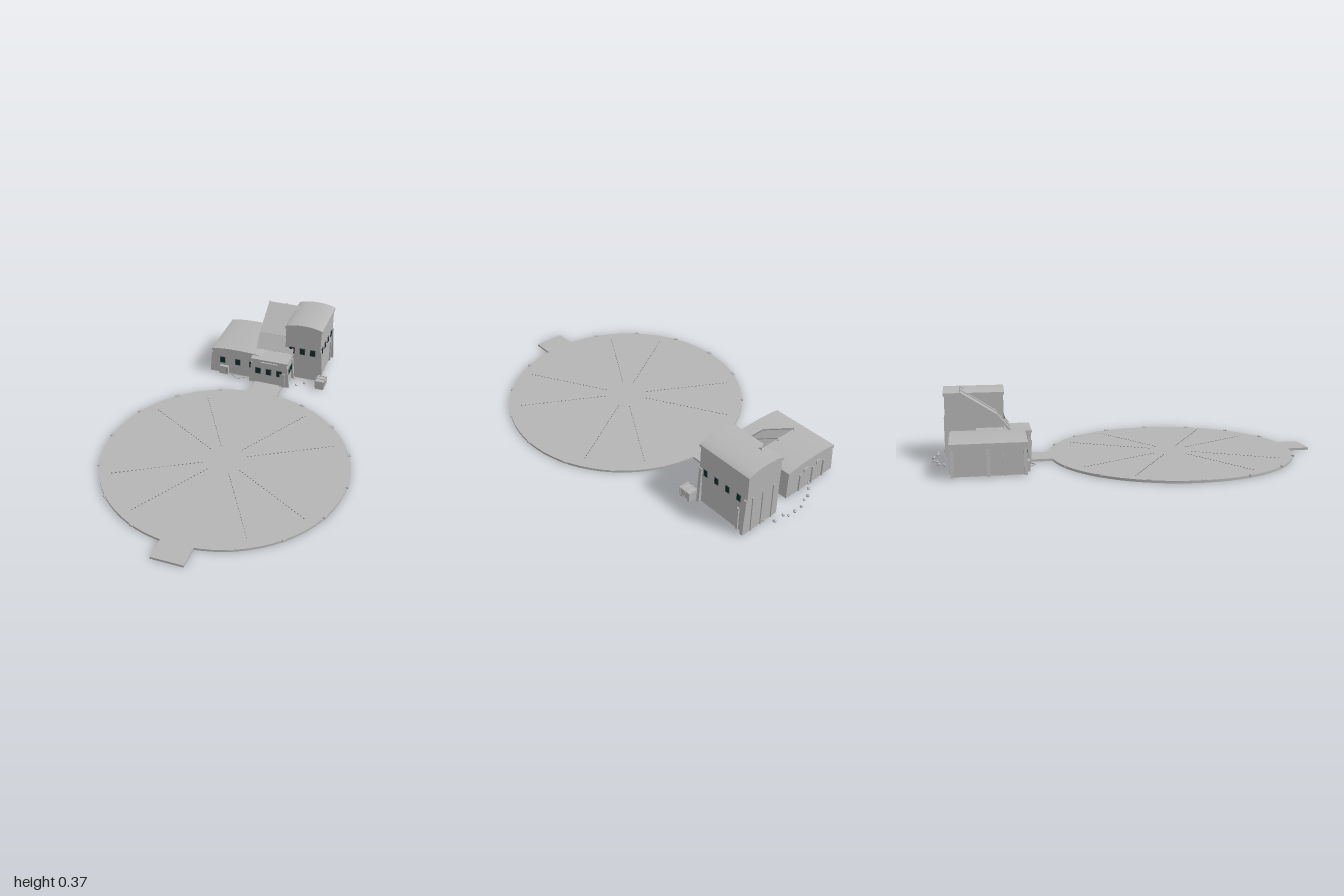
import * as THREE from 'three';

export function createModel() {
  const root = new THREE.Group();
  const mat = (name, color, side = THREE.FrontSide) => {
    const m = new THREE.MeshStandardMaterial({ color, side });
    m.name = name;
    return m;
  };
  const concrete = mat('concrete grey', 0xb4b4b4);
  const sheet = mat('sheet grey', 0xb2b2b2, THREE.DoubleSide);
  const glass = mat('dark teal glass', 0x0c2c2a);
  const trim = mat('dark trim', 0x707070);

  const add = (name, geo, m, x = 0, y = 0, z = 0, parent = root) => {
    const mesh = new THREE.Mesh(geo, m);
    mesh.name = name;
    mesh.position.set(x, y, z);
    parent.add(mesh);
    return mesh;
  };
  const box = (name, w, h, d, x, y, z, m = concrete) =>
    add(name, new THREE.BoxGeometry(w, h, d), m, x, y, z);

  // Landing pad with a walkway at each end
  const padZ = 0.245, padR = 0.645, top = 0.012;
  add('landingPad', new THREE.CylinderGeometry(padR, padR, top, 72), concrete, 0, top / 2, padZ);
  box('frontRamp', 0.165, top, 0.14, 0, top / 2, 0.93);
  box('rearWalkway', 0.165, top, 0.15, 0, top / 2, -0.445);

  // Edge lamps
  for (let i = 0; i < 16; i++) {
    if (i % 8 === 4) continue;
    const a = (i * Math.PI) / 8;
    const lamp = box('edgeLamp', 0.014, 0.009, 0.022,
      Math.cos(a) * padR, 0.0115, padZ + Math.sin(a) * padR);
    lamp.rotation.y = -a;
  }
  // Radial rows of guide lights
  const dot = new THREE.BoxGeometry(0.007, 0.002, 0.003);
  for (const deg of [30, 60, 120, 150, 210, 240, 300, 330]) {
    const a = THREE.MathUtils.degToRad(deg);
    for (let k = 0; k < 24; k++) {
      const r = 0.12 + k * 0.02;
      add('guideLight', dot, trim, Math.cos(a) * r, top + 0.001, padZ + Math.sin(a) * r).rotation.y = -a;
    }
  }

  // Hall with a shallow vaulted roof running front to back
  function vault(x0, x1, y0, eave, crown) {
    const s = new THREE.Shape();
    s.moveTo(x0, y0);
    s.lineTo(x1, y0);
    s.lineTo(x1, eave);
    s.bezierCurveTo(x1 - (x1 - x0) * 0.2, crown + (crown - eave) / 3,
      x0 + (x1 - x0) * 0.2, crown + (crown - eave) / 3, x0, eave);
    s.closePath();
    return s;
  }
  function hall(name, x0, x1, zBack, zFront, eave, crown) {
    const ext = (s, d) => new THREE.ExtrudeGeometry(s, { depth: d, bevelEnabled: false, curveSegments: 14 });
    add(name + 'Walls', ext(vault(x0, x1, 0.008, eave, crown - 0.004), zFront - zBack), concrete, 0, 0, zBack);
    add(name + 'Roof', ext(vault(x0 - 0.005, x1 + 0.005, eave - 0.012, eave + 0.002, crown),
      zFront - zBack + 0.01), concrete, 0, 0, zBack - 0.005);
  }
  hall('lowHall', -0.362, -0.045, -0.9, -0.542, 0.163, 0.179);
  hall('tower', 0.06, 0.27, -0.932, -0.632, 0.342, 0.363);

  // Entrance block
  box('entranceWalls', 0.21, 0.152, 0.125, 0, 0.084, -0.5675);
  box('entranceRoof', 0.222, 0.01, 0.135, 0, 0.164, -0.5675);
  box('entranceCanopy', 0.1, 0.007, 0.012, 0, 0.15, -0.502);
  box('linkRoom', 0.12, 0.15, 0.15, 0.005, 0.083, -0.7);

  // Sloping buttresses, tapering upward; side is -1 or +1 along x
  function buttress(x, z, side, h) {
    const s = new THREE.Shape([[0, 0], [0.017, 0], [0.006, h], [0, h]].map(p => new THREE.Vector2(...p)));
    const g = new THREE.ExtrudeGeometry(s, { depth: 0.016, bevelEnabled: false });
    const m = add('buttress', g, concrete, x, 0.008, side > 0 ? z - 0.008 : z + 0.008);
    if (side < 0) m.rotation.y = Math.PI;
  }
  for (const z of [-0.55, -0.725, -0.892]) buttress(-0.362, z, -1, 0.13);
  for (const z of [-0.64, -0.924]) buttress(0.27, z, 1, 0.2);
  for (const z of [-0.513, -0.62]) {
    buttress(-0.105, z, -1, 0.13);
    buttress(0.105, z, 1, 0.13);
  }

  // Framed windows; axis tells which way the window faces
  function opening(x, y, z, w, h, axis) {
    const size = (a, b, t) => axis === 'x' ? [t, b, a] : [a, b, t];
    box('windowFrame', ...size(w + 0.007, h + 0.007, 0.006), x, y, z, trim);
    box('windowPane', ...size(w, h, 0.009), x, y, z, glass);
  }
  for (const x of [-0.3, -0.205, -0.118]) opening(x, 0.097, -0.542, 0.028, 0.035, 'z');
  for (const x of [-0.066, -0.002, 0.062]) opening(x, 0.092, -0.505, 0.028, 0.035, 'z');
  for (const x of [0.1, 0.163, 0.225]) opening(x, 0.192, -0.632, 0.028, 0.036, 'z');
  for (const z of [-0.672, -0.742, -0.812, -0.882]) opening(0.27, 0.197, z, 0.02, 0.034, 'x');
  for (const z of [-0.527, -0.552, -0.577, -0.602]) opening(0.105, 0.092, z, 0.016, 0.035, 'x');

  // Doors and service cabinets
  box('entranceDoor', 0.032, 0.085, 0.012, 0.083, 0.052, -0.504);
  box('serviceCabinet', 0.055, 0.052, 0.02, -0.288, 0.034, -0.535);
  box('cabinetHandle', 0.004, 0.024, 0.003, -0.27, 0.036, -0.524, trim);
  box('sidePost', 0.01, 0.13, 0.012, 0.273, 0.073, -0.885);
  box('sideDoor', 0.006, 0.1, 0.035, -0.364, 0.058, -0.64);
  for (const x of [-0.3, -0.22, -0.13]) box('rearPipe', 0.008, 0.1, 0.01, x, 0.06, -0.903);
  for (const x of [0.1, 0.17, 0.235]) box('rearRib', 0.008, 0.2, 0.008, x, 0.11, -0.934);
  for (const x of [-0.26, -0.17]) box('rearVent', 0.03, 0.018, 0.008, x, 0.12, -0.902);

  // Slanted roof sheet, steeper at its foot, held by three beams
  const slope = [[0.175, -0.61], [0.25, -0.672], [0.365, -0.85]];
  for (let i = 0; i < 2; i++) {
    const [[ya, za], [yb, zb]] = [slope[i], slope[i + 1]];
    const len = Math.hypot(yb - ya, zb - za), tilt = -Math.atan2(yb - ya, za - zb);
    const place = (name, g, m, x) => {
      add(name, g, m, x, (ya + yb) / 2, (za + zb) / 2).rotation.x = -tilt;
    };
    place('slantedSheet', new THREE.BoxGeometry(0.215, 0.003, len), sheet, 0);
    for (const x of [-0.107, 0, 0.107])
      place('sheetBeam', new THREE.BoxGeometry(0.006, 0.012, len + 0.006), concrete, x);
  }

  // Generator crate beside the tower
  box('crateBody', 0.05, 0.042, 0.07, 0.293, 0.036, -0.585);
  for (const z of [-0.615, -0.585, -0.555]) box('crateBand', 0.056, 0.046, 0.008, 0.293, 0.037, z);
  for (const z of [-0.61, -0.56]) box('crateFoot', 0.05, 0.012, 0.012, 0.293, 0.01, z);

  // Thin ground frame in front of the low hall
  const corners = [[-0.245, -0.535], [-0.2, -0.492], [-0.15, -0.52]].map(p => new THREE.Vector3(p[0], 0.015, p[1]));
  for (let i = 0; i < 2; i++)
    add('groundFrame', new THREE.TubeGeometry(new THREE.LineCurve3(corners[i], corners[i + 1]), 1, 0.003, 5), concrete);

  // Loose stones behind the buildings and near the crate
  const stones = [[-0.2, -0.905], [-0.165, -0.935], [-0.13, -0.962], [-0.09, -0.972], [-0.05, -0.99],
    [0, -0.993], [0.04, -0.99], [0.06, -0.975], [0.115, -0.972], [0.155, -0.94],
    [0.16, -0.535], [0.2, -0.565], [0.13, -0.6]];
  stones.forEach(([x, z], i) => {
    const r = 0.007 + (i % 3) * 0.001;
    add('stone', new THREE.DodecahedronGeometry(r), concrete, x, 0.018 + (i % 2) * 0.005, z).rotation.set(i, i * 2, 0);
  });

  return root;
}
